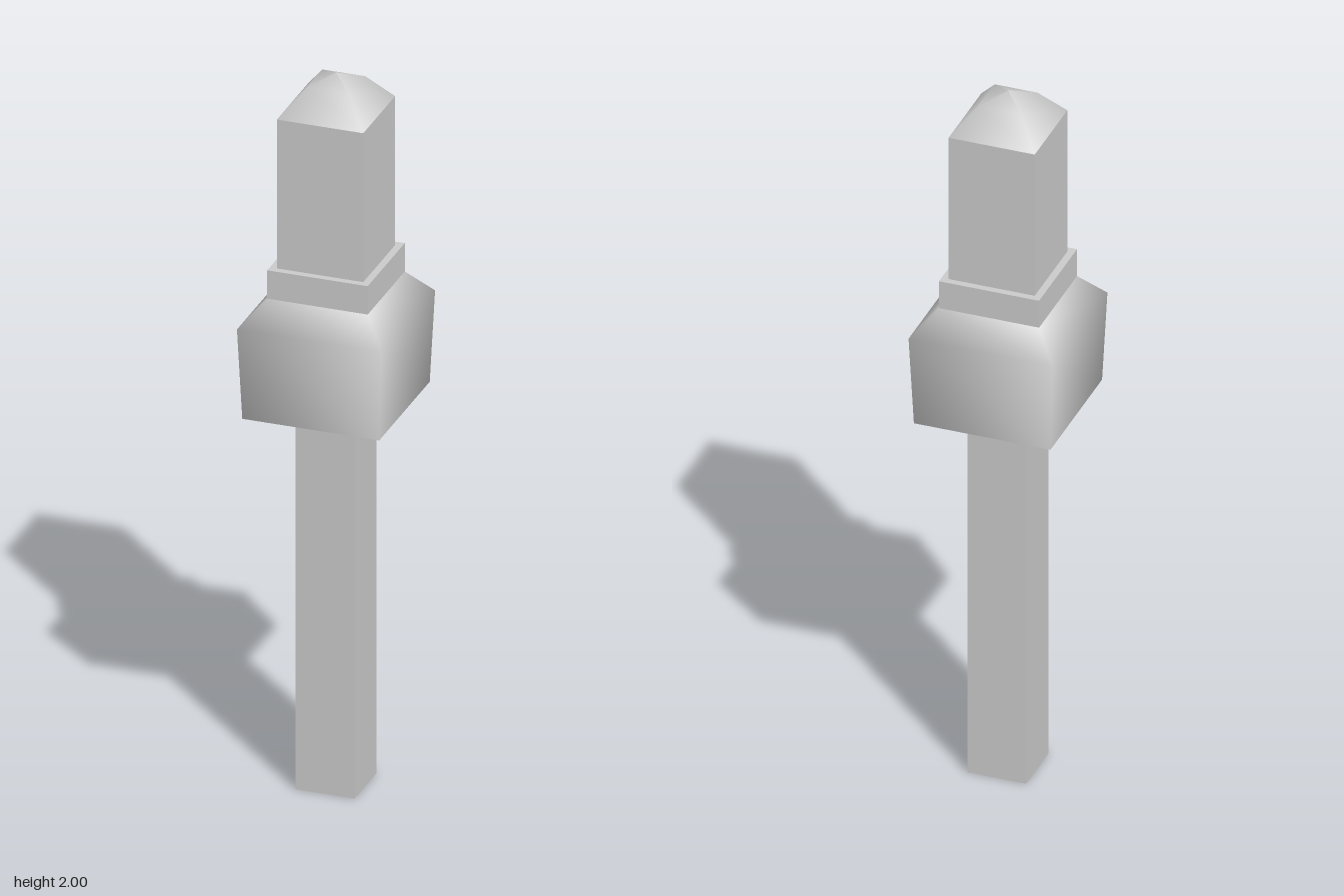
import * as THREE from 'three';

const flat = new THREE.MeshStandardMaterial({ color: 0xcccccc, flatShading: true });
const smooth = new THREE.MeshStandardMaterial({ color: 0xcccccc });

// Four-sided part from a [radius to corner, height] profile, listed bottom to top
function squarePart(name, profile, material) {
  const points = profile.map(([r, y]) => new THREE.Vector2(r, y));
  const mesh = new THREE.Mesh(new THREE.LatheGeometry(points, 4), material);
  mesh.name = name;
  return mesh;
}

export function createModel() {
  const group = new THREE.Group();
  group.name = 'squarePost';

  group.add(
    // long thin shaft standing on the ground
    squarePart('shaft', [[0, 0], [0.113, 0], [0.113, 1.075]], flat),
    // wide block with a flat underside and softly shaded sloping shoulders
    squarePart('blockUnderside', [[0.113, 1.075], [0.263, 1.075]], flat),
    squarePart('block', [[0.263, 1.075], [0.278, 1.33], [0.193, 1.4]], smooth),
    // narrow collar on the block
    squarePart('collar', [[0.193, 1.4], [0.193, 1.48], [0.166, 1.48]], flat),
    // upper post with a rounded cap
    squarePart('upperPost', [[0.166, 1.48], [0.166, 1.9]], flat),
    squarePart('cap', [[0.166, 1.9], [0.082, 1.973], [0, 2]], smooth),
  );

  // the whole post is turned an eighth of a half circle
  group.rotation.y = -Math.PI / 8;
  return group;
}
